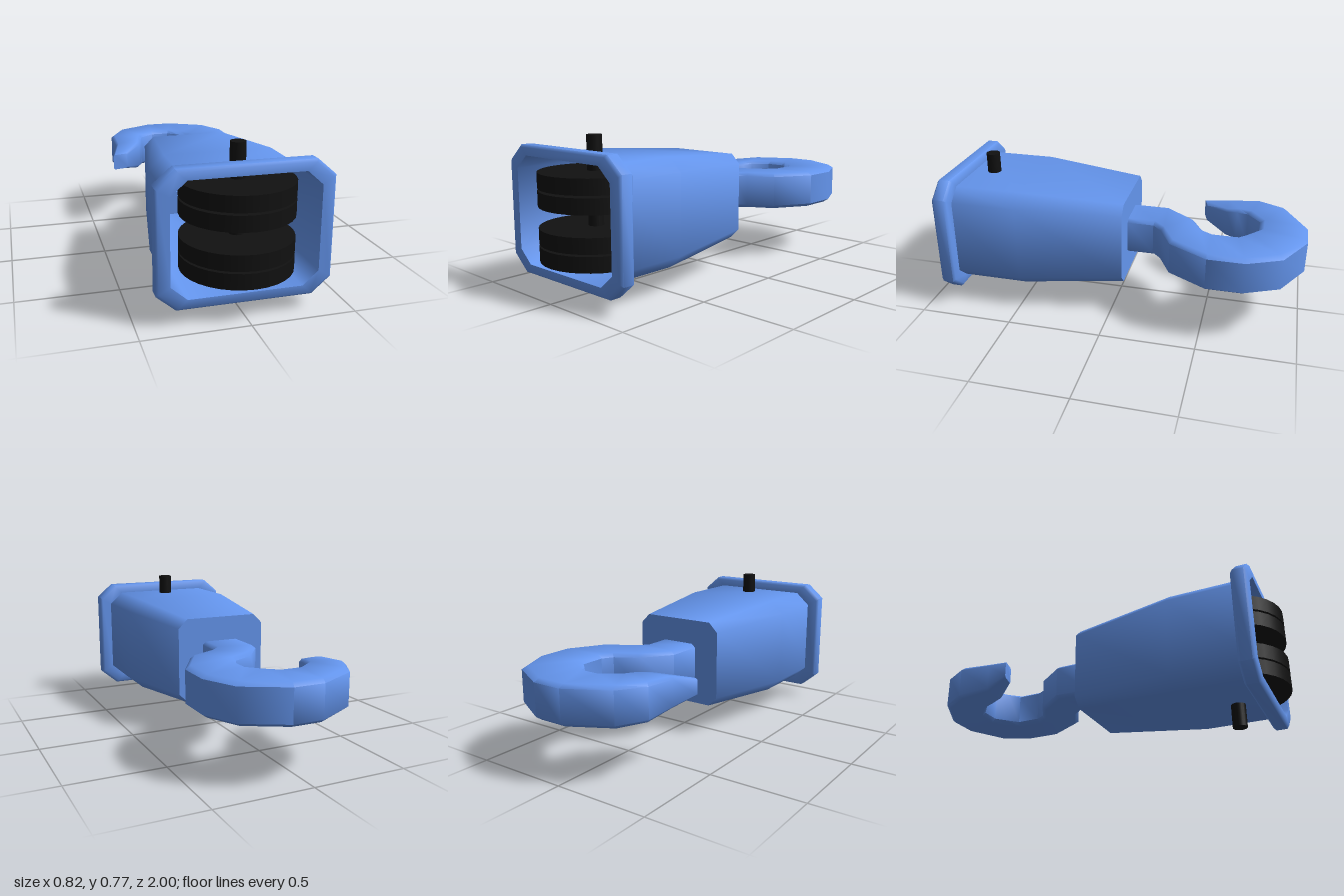
import * as THREE from 'three';
import { toCreasedNormals } from 'three/addons/utils/BufferGeometryUtils.js';

const CY = 0.39; // height of the centre line
const blue = new THREE.MeshStandardMaterial({ color: 0x6495ed, side: THREE.DoubleSide });
const black = new THREE.MeshStandardMaterial({ color: 0x111111 });

function add(parent, name, geometry, material) {
  const mesh = new THREE.Mesh(geometry, material);
  mesh.name = name;
  parent.add(mesh);
  return mesh;
}

// Skin over a row of closed rings, optionally capped at the last one
function loft(rings, capEnd = false) {
  const n = rings[0].length, positions = [], index = [];
  rings.forEach(r => r.forEach(p => positions.push(...p)));
  for (let i = 0; i < rings.length - 1; i++) {
    for (let j = 0; j < n; j++) {
      const k = (j + 1) % n;
      const a = i * n + j, b = i * n + k, c = b + n, d = a + n;
      index.push(a, b, c, a, c, d);
    }
  }
  const last = (rings.length - 1) * n;
  if (capEnd) for (let j = 1; j < n - 1; j++) index.push(last, last + j, last + j + 1);
  const g = new THREE.BufferGeometry();
  g.setAttribute('position', new THREE.Float32BufferAttribute(positions, 3));
  g.setIndex(index);
  return toCreasedNormals(g, THREE.MathUtils.degToRad(55));
}

// Rectangle with cut corners, counterclockwise seen from +z
function cutRect(z, w, h, cx, cy) {
  return [[w, cy - h], [w, h - cy], [w - cx, h], [cx - w, h],
    [-w, h - cy], [-w, cy - h], [cx - w, -h], [w - cx, -h]].map(([x, y]) => [x, CY + y, z]);
}

// Hook section between an inner and an outer edge point, with cut edges
function hookRing([xi, zi, xo, zo, h = 0.1]) {
  const at = (t, y) => [xi + (xo - xi) * t, CY + y, zi + (zo - zi) * t];
  const s = h * 0.82, t = 0.1;
  return [at(0, -s), at(0, s), at(t, h), at(1 - t, h), at(1, s), at(1, -s), at(1 - t, -h), at(t, -h)];
}

export function createModel() {
  const model = new THREE.Group();
  model.name = 'hookBlock';

  // Hollow tapered housing, open at the front
  add(model, 'housing', loft([
    cutRect(-0.06, 0.25, 0.23, 0.05, 0.05),
    cutRect(0.49, 0.345, 0.27, 0.076, 0.067),
    cutRect(0.92, 0.345, 0.27, 0.076, 0.067),
  ]), blue);

  // Rim around the opening
  add(model, 'rim', loft([
    cutRect(0.84, 0.345, 0.27, 0.076, 0.067),
    cutRect(0.84, 0.398, 0.308, 0.088, 0.076),
    cutRect(0.852, 0.409, 0.32, 0.09, 0.077),
    cutRect(0.908, 0.409, 0.32, 0.09, 0.077),
    cutRect(0.92, 0.398, 0.308, 0.088, 0.076),
    cutRect(0.92, 0.345, 0.27, 0.076, 0.067),
  ]), blue);

  // Hook: inner x, z, outer x, z, half thickness where it thins
  const hookRings = [
    [-0.11, -0.06, 0.11, -0.06],
    [-0.11, -0.25, 0.11, -0.20],
    [0, -0.40, 0.16, -0.25],
    [0.116, -0.465, 0.296, -0.32],
    [0.148, -0.52, 0.41, -0.52],
    [0.148, -0.65, 0.41, -0.71],
    [0.095, -0.70, 0.33, -0.885],
    [0.04, -0.75, 0.12, -1],
    [-0.063, -0.75, -0.037, -1],
    [-0.148, -0.68, -0.25, -0.885],
    [-0.165, -0.62, -0.33, -0.745, 0.095],
    [-0.185, -0.56, -0.33, -0.56, 0.08],
    [-0.28, -0.445, -0.37, -0.42, 0.045],
  ].map(hookRing);
  add(model, 'hook', loft(hookRings, true), blue);

  // Back wall, opening into the hollow hook shank
  const flat = ring => ring.map(([x, y]) => new THREE.Vector2(x, y));
  const wall = new THREE.Shape(flat(cutRect(0, 0.25, 0.23, 0.05, 0.05)));
  wall.holes.push(new THREE.Path(flat(hookRings[0])));
  add(model, 'backWall', new THREE.ShapeGeometry(wall).rotateY(Math.PI).translate(0, 0, -0.06), blue);

  // Axle with two pairs of sheave discs
  const sheaves = new THREE.Group();
  sheaves.name = 'sheaves';
  sheaves.position.set(0.014, 0, 0.73);
  model.add(sheaves);
  add(sheaves, 'axle', new THREE.CylinderGeometry(0.037, 0.037, 0.767, 20), black).position.y = 0.3835;
  const disc = new THREE.CylinderGeometry(0.27, 0.27, 0.076, 32);
  for (const y of [0.209, 0.295, 0.473, 0.56]) {
    add(sheaves, 'sheaveDisc', disc, black).position.y = y;
  }
  return model;
}
